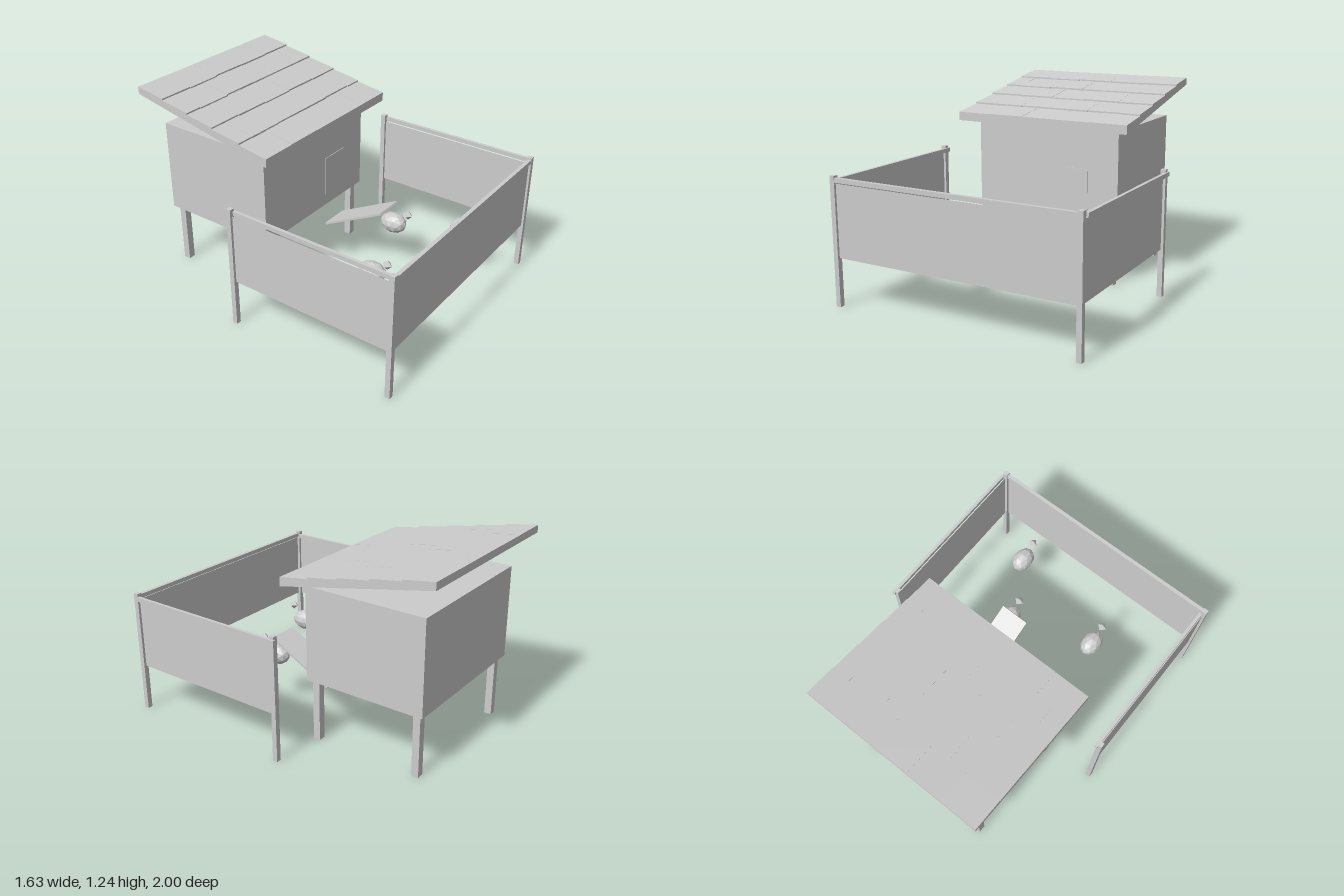
import * as THREE from 'three';

const grey = new THREE.MeshStandardMaterial({ color: 0xcccccc, flatShading: true, side: THREE.DoubleSide });
grey.name = 'plain grey';

// Add a mesh with a name and position
function add(parent, name, geometry, x = 0, y = 0, z = 0) {
  const mesh = new THREE.Mesh(geometry, grey);
  mesh.name = name;
  mesh.position.set(x, y, z);
  parent.add(mesh);
  return mesh;
}

// Box given by its minimum and maximum on each axis
function box(parent, name, x0, x1, y0, y1, z0, z1) {
  return add(parent, name, new THREE.BoxGeometry(x1 - x0, y1 - y0, z1 - z0),
    (x0 + x1) / 2, (y0 + y1) / 2, (z0 + z1) / 2);
}

// Board lying on the sloping roof; heights are above the roof underside at front and back edge
function roofBoard(parent, name, x0, x1, zBack, zFront, bottom, topFront, topBack) {
  const geometry = new THREE.BoxGeometry(x1 - x0, 1, 1);
  const p = geometry.attributes.position;
  for (let i = 0; i < p.count; i++) {
    const front = p.getZ(i) > 0;
    const z = front ? zFront : zBack;
    const h = p.getY(i) < 0 ? bottom : front ? topFront : topBack;
    p.setXYZ(i, p.getX(i) + (x0 + x1) / 2, 0.997 - 0.2 * z + h, z);
  }
  geometry.computeVertexNormals();
  return add(parent, name, geometry);
}

function createRoof() {
  const roof = new THREE.Group();
  roof.name = 'roof';
  roofBoard(roof, 'roofSlab', -0.6, 0.587, -1, 0, 0, 0.037, 0.037);
  let seed = 7;
  const random = () => (seed = (seed * 16807) % 2147483647) / 2147483647;
  const evenRow = [-0.6, -0.365, -0.128, 0.11, 0.35, 0.587];
  const oddRow = [-0.6, -0.485, -0.248, -0.008, 0.23, 0.468, 0.587];
  // Five staggered rows of shingles, each raised at its front edge
  for (let row = 0; row < 5; row++) {
    const xs = row % 2 ? oddRow : evenRow;
    for (let i = 0; i < xs.length - 1; i++) {
      const front = row === 0 ? 0 : -0.2 * row + 0.012 * (random() - 0.5);
      const back = Math.max(-1, -0.2 * (row + 1) - 0.01);
      const lift = 0.002 * random();
      roofBoard(roof, 'shingle', xs[i], xs[i + 1], back, front, 0.03, 0.055 + lift, 0.045 + lift);
    }
  }
  return roof;
}

function createHouse() {
  const house = new THREE.Group();
  house.name = 'house';
  box(house, 'houseBody', -0.503, 0.49, 0.4, 0.993, -0.897, -0.105);
  for (const x of [-0.453, 0.438]) {
    for (const z of [-0.152, -0.846]) {
      box(house, 'houseLeg', x - 0.023, x + 0.023, 0, 0.4, z - 0.023, z + 0.023);
    }
  }
  box(house, 'door', 0.09, 0.287, 0.48, 0.74, -0.106, -0.101);
  return house;
}

function createFence() {
  const fence = new THREE.Group();
  fence.name = 'fence';
  for (const x of [-0.801, 0.786]) {
    for (const z of [-0.108, 0.981]) {
      box(fence, 'fencePost', x - 0.016, x + 0.016, 0, 0.793, z - 0.016, z + 0.016);
    }
    box(fence, 'sideRail', x + 0.006, x + 0.026, 0.75, 0.777, -0.132, 0.958);
    const panel = add(fence, 'sidePanel', new THREE.PlaneGeometry(1.089, 0.447), x, 0.5235, 0.4365);
    panel.rotation.y = Math.PI / 2;
  }
  box(fence, 'frontRail', -0.801, 0.786, 0.755, 0.782, 0.972, 0.996);
  add(fence, 'frontPanel', new THREE.PlaneGeometry(1.587, 0.447), -0.0075, 0.5235, 0.983);
  return fence;
}

// Small hen: faceted egg body with a pointed head
function createHen(x, z) {
  const hen = new THREE.Group();
  hen.name = 'hen';
  hen.position.set(x, 0.352, z);
  add(hen, 'henBody', new THREE.IcosahedronGeometry(1, 1).scale(0.066, 0.067, 0.092));
  add(hen, 'henHead', new THREE.OctahedronGeometry(0.032), 0, 0.088, 0.104);
  return hen;
}

export function createModel() {
  const model = new THREE.Group();
  model.name = 'henHouse';
  model.add(createHouse(), createRoof(), createFence());
  // Tilted ramp in front of the door
  const ramp = add(model, 'ramp', new THREE.BoxGeometry(0.197, 0.014, 0.485), 0.189, 0.368, 0.115);
  ramp.rotation.x = -Math.atan(0.52);
  for (const [x, z] of [[-0.305, 0.532], [0.24, 0.335], [0.437, 0.733]]) model.add(createHen(x, z));
  return model;
}
